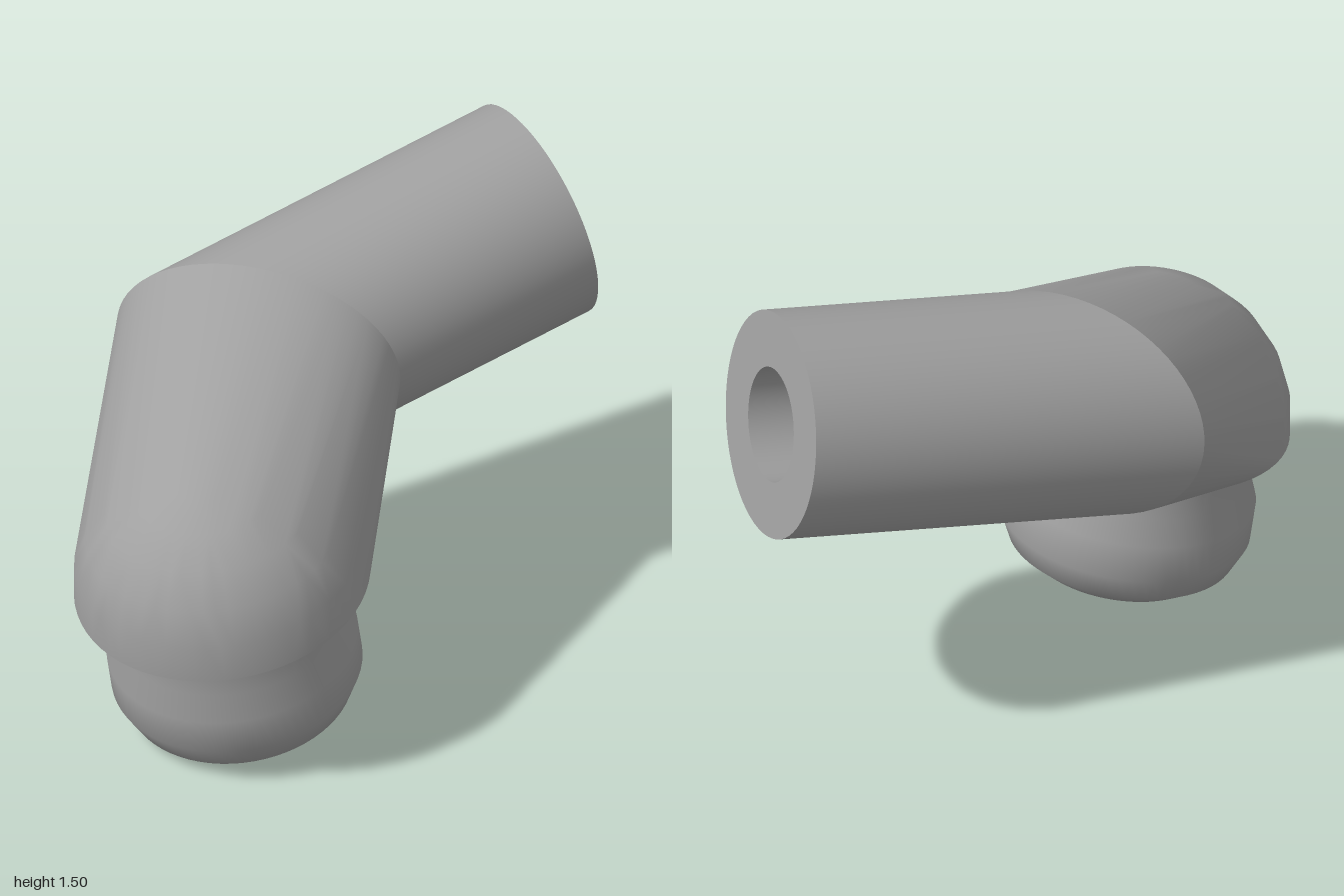
import * as THREE from 'three';
import { toCreasedNormals } from 'three/addons/utils/BufferGeometryUtils.js';
import { ConvexGeometry } from 'three/addons/geometries/ConvexGeometry.js';

const SEGMENTS = 64;
const PIPE_RADIUS = 0.353;
const PIPE_LENGTH = 1.006;
const YAW = 0.257;                 // heading of the long pipe
const MITRE = Math.tan(0.693);     // slope of its angled inner end
const BASE = 0.497;                // height of the flat underside
const JOINT = new THREE.Vector3(-0.325, 0.85, -0.566);

const grey = new THREE.MeshStandardMaterial({ color: 0xa0a0a0 });
grey.name = 'plain grey';

function lathe(profile) {
  return new THREE.LatheGeometry(profile.map(([r, y]) => new THREE.Vector2(r, y)), SEGMENTS);
}

function part(name, geometry, crease) {
  const mesh = new THREE.Mesh(toCreasedNormals(geometry, crease), grey);
  mesh.name = name;
  return mesh;
}

// Turn a shape standing on y so that it lies along the long pipe
function layAlongPipe(target) {
  return target.rotateX(-Math.PI / 2).rotateY(-YAW).translate(JOINT.x, JOINT.y, JOINT.z);
}

// Bored pipe with its inner end cut at an angle
function pipeGeometry() {
  const geometry = lathe([
    [PIPE_RADIUS, 0], [PIPE_RADIUS, PIPE_LENGTH], [0.178, PIPE_LENGTH], [0.178, 0.17], [0, 0.17],
  ]);
  const pos = geometry.attributes.position;
  for (let i = 0; i < pos.count; i++) {
    if (pos.getY(i) < 1e-6) pos.setY(i, MITRE * pos.getX(i));
  }
  return layAlongPipe(geometry);
}

// Elbow body: a dome over the stub stretched to the oval mitre of the pipe
function elbowGeometry() {
  const points = [];
  const oval = [];
  for (let i = 0; i < SEGMENTS; i++) {
    const a = (i / SEGMENTS) * Math.PI * 2;
    for (let k = 0; k < 6; k++) {
      const tilt = (k / 6) * Math.PI / 2;
      const r = 0.458 * Math.cos(tilt);
      points.push(new THREE.Vector3(r * Math.cos(a), BASE + 0.458 * Math.sin(tilt), r * Math.sin(a)));
    }
    const x = PIPE_RADIUS * Math.sin(a);
    oval.push(new THREE.Vector3(x, MITRE * x, PIPE_RADIUS * Math.cos(a)));
  }
  const ring = layAlongPipe(new THREE.BufferGeometry().setFromPoints(oval)).attributes.position;
  for (let i = 0; i < ring.count; i++) {
    points.push(new THREE.Vector3().fromBufferAttribute(ring, i));
  }
  return new ConvexGeometry(points);
}

export function createModel() {
  const model = new THREE.Group();
  model.name = 'elbowFitting';

  const body = new THREE.Group();
  body.name = 'tiltedBody';
  body.position.set(0.14, 0.05, 0.465);
  body.rotation.x = 0.177;
  model.add(body);

  // Rounded stub with a neck and a central bore
  const stub = lathe([
    [0, 0.49], [0.138, 0.49], [0.138, 0], [0.28, 0], [0.35, 0.05], [0.388, 0.133],
    [0.388, 0.255], [0.357, 0.342], [0.357, 0.52],
  ]);
  body.add(part('stub', stub, 0.8));
  body.add(part('elbow', elbowGeometry(), 0.6));
  body.add(part('pipe', pipeGeometry(), 0.6));
  return model;
}
